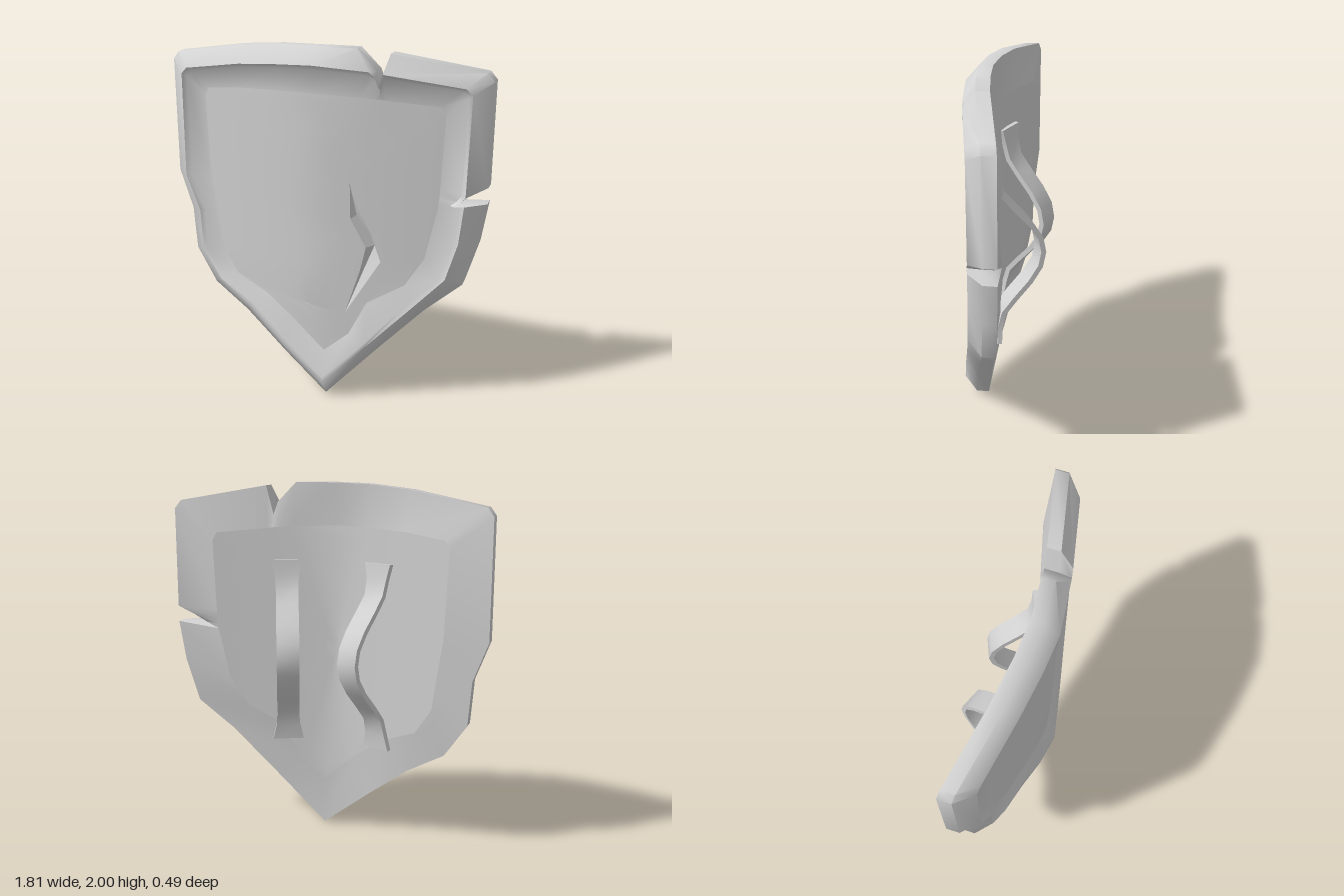
import * as THREE from 'three';
import { toCreasedNormals } from 'three/addons/utils/BufferGeometryUtils.js';

const steel = new THREE.MeshStandardMaterial({ color: 0xd2d2d2 });
steel.name = 'grey';

// Outlines share stations, counter-clockwise from the tip; the two notches pull the outer edge inwards.
const outer = [
  [0.07, 0], [0.35, 0.3], [0.6, 0.56], [0.8, 0.73], [0.87, 0.97], [0.905, 1.2], [0.745, 1.2],
  [0.81, 1.24], [0.905, 1.29], [0.905, 1.85], [0.87, 1.895], [0.39, 1.98], [0.35, 1.82], [0.325, 1.89],
  [0.22, 2], [0, 2], [-0.2, 1.995], [-0.45, 1.97], [-0.87, 1.895], [-0.905, 1.85], [-0.905, 1.2],
  [-0.82, 0.98], [-0.8, 0.73], [-0.67, 0.54], [-0.45, 0.41], [-0.2, 0.215]];
const rim = [
  [0.07, 0.1], [0.31, 0.35], [0.56, 0.61], [0.72, 0.78], [0.78, 0.99], [0.8, 1.2], [0.74, 1.2],
  [0.775, 1.22], [0.805, 1.25], [0.815, 1.79], [0.78, 1.825], [0.37, 1.885], [0.35, 1.815], [0.328, 1.87],
  [0.3, 1.895], [0, 1.915], [-0.2, 1.905], [-0.43, 1.885], [-0.78, 1.825], [-0.815, 1.79], [-0.82, 1.2],
  [-0.73, 1], [-0.72, 0.77], [-0.6, 0.6], [-0.4, 0.48], [-0.17, 0.29]];
const panel = [
  [0.06, 0.28], [0.2, 0.4], [0.3, 0.6], [0.5, 0.72], [0.6, 0.88], [0.66, 1.17], [0.663, 1.2],
  [0.665, 1.23], [0.667, 1.28], [0.68, 1.68], [0.655, 1.72], [0.38, 1.745], [0.35, 1.75], [0.32, 1.751],
  [0.25, 1.755], [0, 1.765], [-0.2, 1.76], [-0.42, 1.75], [-0.655, 1.72], [-0.68, 1.68], [-0.66, 1.2],
  [-0.62, 0.95], [-0.6, 0.8], [-0.5, 0.65], [-0.3, 0.57], [-0.13, 0.45]];

// Curvature of each layer, with the tip swept forward
const bow = (x, w, p) => Math.pow(Math.abs(x) / w, p);
const tip = (y, reach) => Math.max(0, 1 - y / reach);
const backZ = (x, y) => 0.07 + 0.033 * tip(y, 0.35) - 0.152 * bow(x, 0.9, 1.5);
const innerBackZ = (x) => 0.1 - 0.165 * bow(x, 0.65, 1.15);
const sideZ = (x, y) => backZ(x, y) + 0.073;
const rimZ = (x, y) => 0.216 + 0.036 * tip(y, 0.5) - 0.14 * bow(x, 0.82, 1.4);
const panelZ = (x) => 0.187 - 0.122 * bow(x, 0.68, 1.4);
const grooveZ = (x, y) => rimZ(x, y) - 0.025 * THREE.MathUtils.smoothstep(y, 0.3, 1.1);

const lift = (pts, z) => pts.map(([x, y]) => new THREE.Vector3(x, y, z(x, y)));

function makeMesh(name, tris, crease) {
  const g = new THREE.BufferGeometry().setFromPoints(tris);
  const mesh = new THREE.Mesh(toCreasedNormals(g, crease), steel);
  mesh.name = name;
  return mesh;
}

// Join two rows of points with quads, leaving out collapsed triangles
function strip(out, a, b, closed = true) {
  const n = a.length;
  const add = (p, q, r) => {
    if (!p.equals(q) && !q.equals(r) && !r.equals(p)) out.push(p, q, r);
  };
  for (let i = 0; i < (closed ? n : n - 1); i++) {
    const j = (i + 1) % n;
    add(a[i], a[j], b[j]);
    add(a[i], b[j], b[i]);
  }
}

// Fill between two outlines with rings that follow a depth rule
function bentFill(from, to, z, steps = 10) {
  const tris = [];
  const ring = (k) => (k === steps ? lift(to, z) : lift(from.map(([x, y], i) =>
    [x + (to[i][0] - x) * k / steps, y + (to[i][1] - y) * k / steps]), z));
  for (let k = 0; k < steps; k++) strip(tris, ring(k), ring(k + 1));
  return tris;
}

// Arched grip with flared feet, swept as a rectangular section
function makeStrap(side) {
  const half = [[0.525, 0, 0.088], [0.44, -0.008, 0.068], [0.355, -0.03, 0.063], [0.28, -0.09, 0.063], [0.18, -0.178, 0.063], [0.09, -0.235, 0.063]];
  const path = [...half.map(([y, z, w]) => [-y, z, w]), [0, -0.253, 0.063], ...half.slice().reverse()];
  const t = 0.028;
  const sections = path.map(([y, z, w], i) => {
    const p = path[Math.max(i - 1, 0)], q = path[Math.min(i + 1, path.length - 1)];
    const len = Math.hypot(q[0] - p[0], q[1] - p[1]);
    const ny = -(q[1] - p[1]) / len * t, nz = (q[0] - p[0]) / len * t;
    return [
      new THREE.Vector3(-w, y, z), new THREE.Vector3(w, y, z),
      new THREE.Vector3(w, y + ny, z + nz), new THREE.Vector3(-w, y + ny, z + nz)];
  });
  const tris = [];
  for (let i = 0; i < sections.length - 1; i++) strip(tris, sections[i + 1], sections[i]);
  const [a, b, c, d] = sections[0], [e, f, g, h] = sections[sections.length - 1];
  tris.push(a, b, c, a, c, d, e, g, f, e, h, g);
  const strap = makeMesh(side > 0 ? 'leftStrap' : 'rightStrap', tris, 0.6);
  strap.position.set(side * 0.265, 1.05, 0.012);
  strap.rotation.y = side * 0.4;
  return strap;
}

export function createModel() {
  const group = new THREE.Group();
  group.name = 'shield';

  // Rim: rear border, side wall, bevel, groove and slope down to the panel
  const groove = rim.map(([x, y], i) => [x + (panel[i][0] - x) * 0.17, y + (panel[i][1] - y) * 0.17]);
  const rings = [lift(panel, innerBackZ), lift(outer, backZ), lift(outer, sideZ),
    lift(rim, rimZ), lift(groove, grooveZ), lift(panel, panelZ)];
  const rimTris = [];
  for (let i = 0; i < rings.length - 1; i++) strip(rimTris, rings[i], rings[i + 1]);
  group.add(makeMesh('rim', rimTris, 0.95));

  // Gash in the front panel: two lips meeting in a valley
  const leftLip = [[0.2, 1.29], [0.205, 1.09], [0.29, 0.93], [0.26, 0.79], [0.18, 0.53]];
  const rightLip = [[0.2, 1.29], [0.25, 1.14], [0.315, 1.01], [0.37, 0.85], [0.18, 0.53]];
  const valley = [[0.2, 1.29], [0.225, 1.1], [0.325, 0.93], [0.275, 0.8], [0.18, 0.53]];
  const left = lift(leftLip, panelZ), right = lift(rightLip, panelZ);
  const deep = lift(valley, panelZ);
  deep.slice(1, -1).forEach((p) => { p.z -= 0.045; });
  const gash = [];
  strip(gash, left, deep, false);
  strip(gash, deep, right, false);
  group.add(makeMesh('gash', gash, 0.3));

  // Front panel, running from its outline to the lips of the gash
  const lip = [...rightLip.slice().reverse(), ...leftLip.slice(1)];
  const lipAt = [0, 0, 0, 1, 1, 2, 2, 2, 3, 4, 4, 4, 4, 4, 4, 4, 4, 4, 4, 4, 5, 6, 7, 8, 8, 8];
  group.add(makeMesh('frontPanel', bentFill(panel, lipAt.map((i) => lip[i]), panelZ), 0.8));

  // Rear panel, running to its middle
  const middle = panel.map(() => [0, 1.05]);
  const backTris = bentFill(panel, middle, innerBackZ);
  group.add(makeMesh('backPanel', backTris.reverse(), 0.8));

  // Arm straps
  for (const side of [-1, 1]) group.add(makeStrap(side));
  return group;
}
